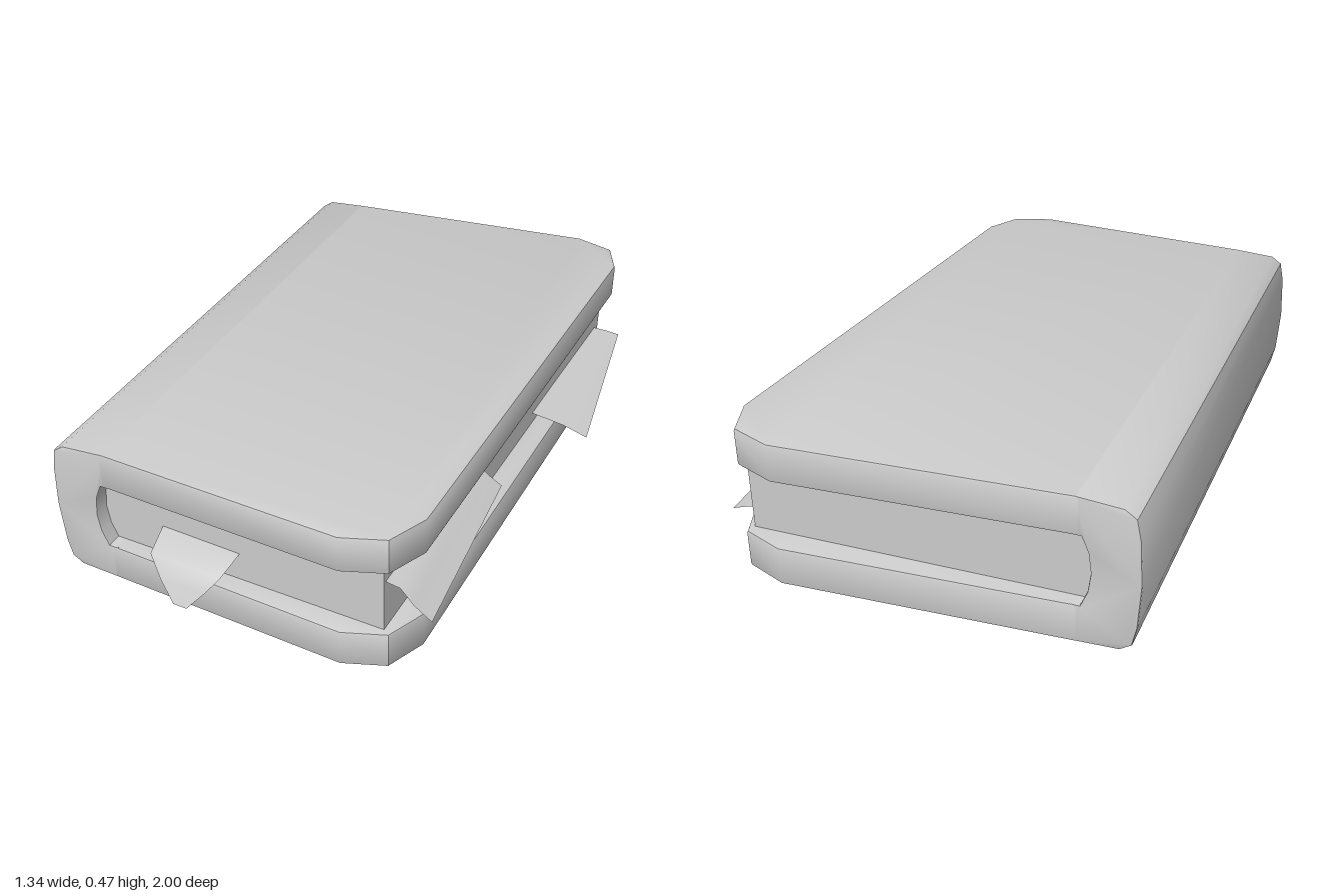
import * as THREE from 'three';
import { toCreasedNormals } from 'three/addons/utils/BufferGeometryUtils.js';

const grey = new THREE.MeshStandardMaterial({ color: 0xcccccc });
const sheetGrey = new THREE.MeshStandardMaterial({ color: 0xcccccc, side: THREE.DoubleSide });

function part(name, geometry, material = grey) {
  const mesh = new THREE.Mesh(geometry, material);
  mesh.name = name;
  return mesh;
}

// Prism of an outline with finely bevelled rims, depth including the bevels
function slab(points, depth, bevel) {
  const shape = new THREE.Shape(points.map(([x, y]) => new THREE.Vector2(x, y)));
  const geometry = new THREE.ExtrudeGeometry(shape, {
    depth: depth - 2 * bevel, bevelEnabled: bevel > 0, bevelThickness: bevel,
    bevelSize: bevel, bevelOffset: -bevel, bevelSegments: 2,
  });
  geometry.translate(0, 0, bevel);
  return toCreasedNormals(geometry, 0.7);
}

// Horizontal slab from an outline given as [x, z], resting at height y
function flatSlab(outline, y, height, bevel) {
  const geometry = slab(outline.map(([x, z]) => [x, -z]), height, bevel);
  return geometry.rotateX(-Math.PI / 2).translate(0, y, 0);
}

// Thin sheet stretched between two edge lines with equal point counts
function sheet(edgeA, edgeB) {
  const index = [];
  for (let i = 0; i < edgeA.length - 1; i++) {
    const a = 2 * i;
    index.push(a, a + 1, a + 2, a + 1, a + 3, a + 2);
  }
  const geometry = new THREE.BufferGeometry();
  const points = edgeA.flatMap((p, i) => [...p, ...edgeB[i]]);
  geometry.setAttribute('position', new THREE.Float32BufferAttribute(points, 3));
  geometry.setIndex(index);
  geometry.computeVertexNormals();
  return geometry;
}

export function createModel() {
  const book = new THREE.Group();
  book.name = 'book';

  // Front and back boards, skewed with clipped outer corners
  const boardOutline = [
    [-0.49, 0.885], [0.29, 0.935], [0.42, 0.89], [0.48, 0.77],
    [0.57, -0.83], [0.52, -0.955], [0.39, -1.0], [-0.49, -0.93],
  ];
  book.add(part('lowerBoard', flatSlab(boardOutline, 0, 0.125, 0.008)));
  book.add(part('upperBoard', flatSlab(boardOutline, 0.348, 0.122, 0.008)));

  // Rounded spine wrapping from board to board
  const spineProfile = [
    [-0.47, 0], [-0.47, 0.125], [-0.5, 0.125], [-0.52, 0.175], [-0.528, 0.235],
    [-0.52, 0.3], [-0.5, 0.348], [-0.47, 0.348], [-0.47, 0.47], [-0.615, 0.461],
    [-0.649, 0.438], [-0.662, 0.375], [-0.67, 0.235], [-0.662, 0.095],
    [-0.649, 0.033], [-0.615, 0.01],
  ];
  const spine = slab(spineProfile, 1.815, 0.006);
  spine.translate(0, 0, -0.93);
  book.add(part('spine', spine));

  // Block of pages between the boards
  const pageOutline = [[-0.55, 0.835], [0.4, 0.875], [0.51, -0.927], [-0.55, -0.885]];
  book.add(part('pages', flatSlab(pageOutline, 0.115, 0.245, 0)));

  // Loose page scraps poking out of the block
  book.add(part('frontSideScrap', sheet(
    [[0.38, 0.3, 0.865], [0.445, 0.293, 0.87], [0.49, 0.255, 0.88], [0.545, 0.22, 0.885]],
    [[0.42, 0.306, 0.28], [0.45, 0.304, 0.28], [0.49, 0.27, 0.277], [0.53, 0.24, 0.272]],
  ), sheetGrey));
  book.add(part('backSideScrap', sheet(
    [[0.46, 0.168, -0.885], [0.55, 0.162, -0.89], [0.6, 0.15, -0.9]],
    [[0.45, 0.17, -0.24], [0.58, 0.15, -0.238], [0.665, 0.125, -0.235]],
  ), sheetGrey));
  book.add(part('frontScrap', sheet(
    [[-0.325, 0.23, 0.845], [-0.31, 0.205, 0.94], [-0.265, 0.15, 0.97], [-0.21, 0.095, 0.998]],
    [[-0.06, 0.226, 0.845], [-0.075, 0.2, 0.95], [-0.115, 0.15, 0.975], [-0.165, 0.095, 1.0]],
  ), sheetGrey));

  return book;
}
